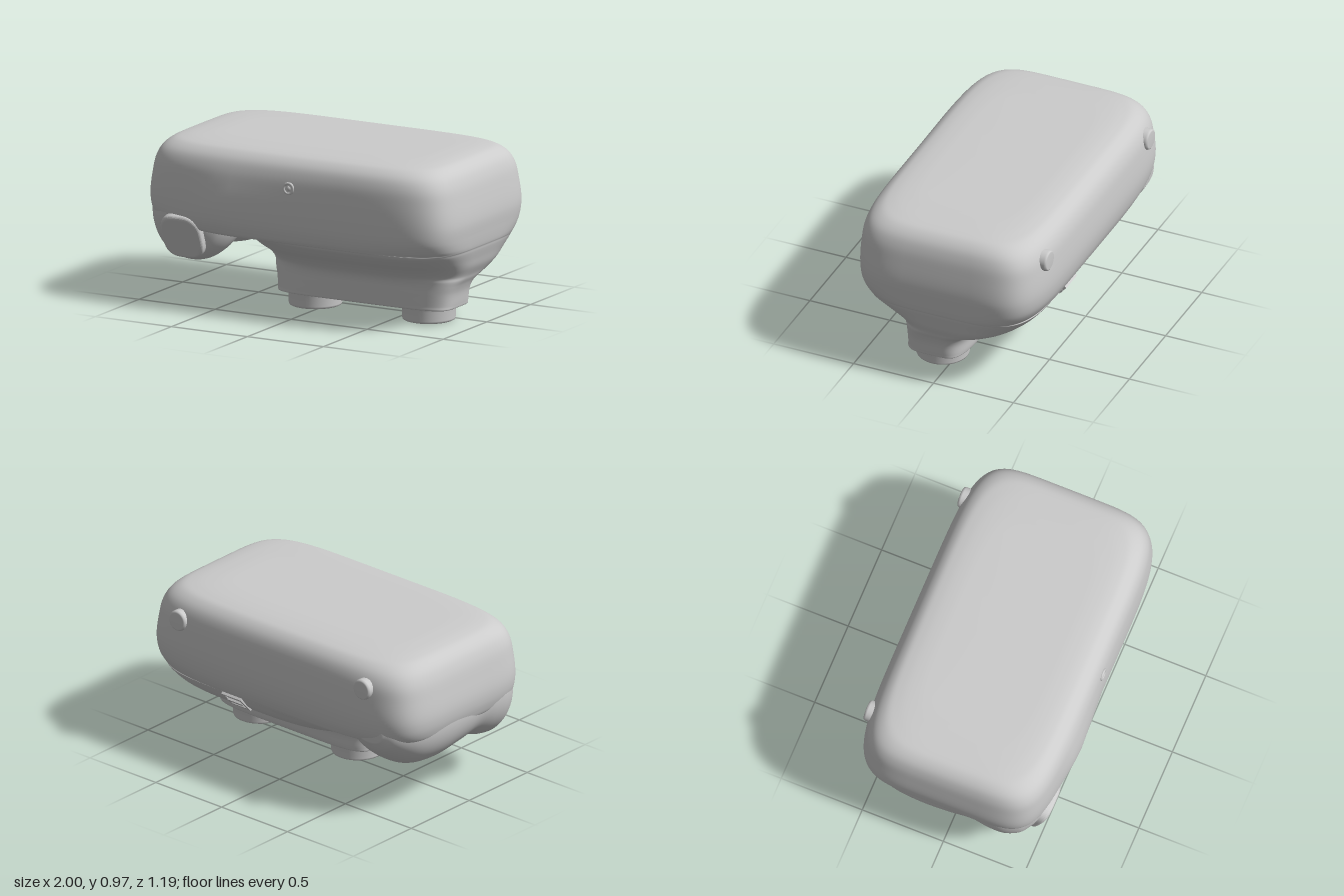
import * as THREE from 'three';

const SEG = 128;
const material = new THREE.MeshStandardMaterial({ color: 0xcccccc, side: THREE.DoubleSide });

// Point on a unit superellipse; a higher n gives a squarer outline.
function superellipse(t, n) {
  const c = Math.cos(t), s = Math.sin(t);
  return [Math.sign(c) * Math.abs(c) ** (2 / n), Math.sign(s) * Math.abs(s) ** (2 / n)];
}

// Smooth closed skin through a list of rings, capped at both ends.
function loft(rings, steps) {
  const rails = [];
  for (let j = 0; j < SEG; j++) {
    rails.push(new THREE.CatmullRomCurve3(rings.map((r) => r[j])));
  }
  const pos = [], index = [];
  for (let i = 0; i <= steps; i++) {
    for (const rail of rails) pos.push(...rail.getPoint(i / steps).toArray());
  }
  for (let i = 0; i < steps; i++) {
    for (let j = 0; j < SEG; j++) {
      const k = (j + 1) % SEG;
      const a = i * SEG + j, b = i * SEG + k, c = a + SEG, d = b + SEG;
      index.push(a, c, b, b, c, d);
    }
  }
  [rings[0], rings[rings.length - 1]].forEach((ring, end) => {
    const mid = ring.reduce((m, p) => m.add(p), new THREE.Vector3()).divideScalar(SEG);
    const centre = pos.length / 3, base = end * steps * SEG;
    pos.push(...mid.toArray());
    for (let j = 0; j < SEG; j++) {
      const a = base + j, b = base + (j + 1) % SEG;
      if (end) index.push(centre, b, a);
      else index.push(centre, a, b);
    }
  });
  const g = new THREE.BufferGeometry();
  g.setAttribute('position', new THREE.Float32BufferAttribute(pos, 3));
  g.setIndex(index);
  g.computeVertexNormals();
  return g;
}

// Horizontal ring: height, x range, z range, squareness.
function levelRing([y, x0, x1, z0, z1, n]) {
  return Array.from({ length: SEG }, (_, j) => {
    const [c, s] = superellipse((j / SEG) * Math.PI * 2, n);
    return new THREE.Vector3((x0 + x1) / 2 + c * (x1 - x0) / 2, y, (z0 + z1) / 2 + s * (z1 - z0) / 2);
  });
}

// Upright ring of the grip: depth, lowest height, half width.
function gripRing([z, bottom, half]) {
  return Array.from({ length: SEG }, (_, j) => {
    const [c, s] = superellipse((j / SEG) * Math.PI * 2, 2.1);
    return new THREE.Vector3(-0.72 + c * half, 0.54 + s * (s < 0 ? 0.54 - bottom : 0.1), z);
  });
}

export function createModel() {
  const group = new THREE.Group();
  const add = (name, geometry, x = 0, y = 0, z = 0, rx = 0) => {
    const mesh = new THREE.Mesh(geometry, material);
    mesh.name = name;
    mesh.position.set(x, y, z);
    mesh.rotation.x = rx;
    group.add(mesh);
  };

  // Rounded housing flowing down into its neck, stepped out over the grip side
  const housing = loft([
    [0.085, -0.25, 0.85, -0.09, 0.26, 5],
    [0.09, -0.265, 0.865, -0.105, 0.275, 5],
    [0.11, -0.27, 0.87, -0.115, 0.28, 4.5],
    [0.18, -0.277, 0.88, -0.125, 0.287, 4.2],
    [0.225, -0.288, 0.895, -0.15, 0.292, 4],
    [0.255, -0.297, 0.91, -0.22, 0.302, 3.8],
    [0.28, -0.31, 0.92, -0.32, 0.32, 3.6],
    [0.33, -0.33, 0.945, -0.43, 0.38, 3.6],
    [0.38, -0.35, 0.96, -0.495, 0.46, 3.8],
    [0.43, -0.37, 0.975, -0.535, 0.52, 4.2],
    [0.445, -0.42, 0.978, -0.545, 0.53, 4.4],
    [0.45, -0.6, 0.98, -0.55, 0.535, 4.6],
    [0.455, -0.85, 0.982, -0.553, 0.54, 4.8],
    [0.475, -0.96, 0.986, -0.565, 0.55, 5.2],
    [0.53, -0.988, 0.993, -0.585, 0.564, 5.8],
    [0.62, -1, 1, -0.597, 0.57, 6],
    [0.75, -0.985, 0.985, -0.591, 0.567, 6],
    [0.84, -0.966, 0.966, -0.577, 0.555, 6],
    [0.9, -0.937, 0.937, -0.55, 0.53, 5.8],
    [0.94, -0.89, 0.89, -0.505, 0.485, 5.5],
    [0.956, -0.83, 0.83, -0.45, 0.435, 5],
    [0.965, -0.72, 0.72, -0.37, 0.35, 4.5],
    [0.967, -0.64, 0.64, -0.3, 0.28, 4.5],
  ].map(levelRing), 132);
  // Slight swelling on the front
  const p = housing.attributes.position;
  for (let i = 0; i < p.count; i++) {
    if (p.getZ(i) < 0.3) continue;
    const swell = Math.exp(-(((p.getX(i) + 0.37) / 0.2) ** 2) - ((p.getY(i) - 0.6) / 0.2) ** 2);
    p.setZ(i, p.getZ(i) + 0.025 * swell);
  }
  housing.computeVertexNormals();
  add('housing', housing);

  // Rounded grip ridge running front to back under one end
  add('grip', loft([
    [0.53, 0.47, 0.09],
    [0.51, 0.4, 0.14],
    [0.475, 0.325, 0.19],
    [0.44, 0.275, 0.225],
    [0.36, 0.24, 0.26],
    [0.27, 0.25, 0.265],
    [0.16, 0.288, 0.255],
    [0.03, 0.275, 0.265],
    [-0.15, 0.252, 0.268],
    [-0.31, 0.272, 0.255],
    [-0.42, 0.33, 0.225],
    [-0.51, 0.41, 0.17],
    [-0.555, 0.48, 0.1],
  ].map(gripRing), 72));

  // Tilted pad on the front of the grip
  const padShape = new THREE.Shape(Array.from({ length: 64 }, (_, j) => {
    const [c, s] = superellipse((j / 64) * Math.PI * 2, 3.5);
    return new THREE.Vector2(c * 0.108, s * 0.118);
  }));
  add('gripPad', new THREE.ExtrudeGeometry(padShape, {
    depth: 0.09, bevelThickness: 0.02, bevelSize: 0.022, bevelSegments: 5,
  }), -0.71, 0.437, 0.425, 0.38);

  // Hollow feet
  const footProfile = [
    [0, 0.045], [0.035, 0.045], [0.05, 0.03], [0.07, 0.03], [0.09, 0.012], [0.11, 0],
    [0.142, 0], [0.15, 0.004], [0.154, 0.015], [0.154, 0.07], [0.16, 0.082], [0.16, 0.1],
  ].map(([r, y]) => new THREE.Vector2(r, y));
  for (const x of [-0.075, 0.67]) add('foot', new THREE.LatheGeometry(footProfile, 48), x, 0, 0.09);

  // Small ringed sensor on the front
  add('sensorRing', new THREE.TorusGeometry(0.03, 0.008, 12, 32), 0.02, 0.78, 0.564);
  add('sensor', new THREE.SphereGeometry(0.018, 16, 12), 0.02, 0.78, 0.553);

  // Shallow round buttons on the back
  const buttonProfile = [[0.062, -0.06], [0.062, 0.025], [0.058, 0.036], [0.05, 0.04], [0, 0.04]]
    .map(([r, y]) => new THREE.Vector2(r, y));
  for (const x of [-0.7, 0.7]) {
    add('backButton', new THREE.LatheGeometry(buttonProfile, 40), x, 0.81, -0.555, -Math.PI / 2);
  }

  // Latch on the sloping lower back: a frame with a crossbar
  const latch = new THREE.Group();
  latch.name = 'latch';
  const bar = (x, y, w, h, d) => {
    const mesh = new THREE.Mesh(new THREE.BoxGeometry(w, h, d), material);
    mesh.name = 'latchBar';
    mesh.position.set(x, y, 0);
    latch.add(mesh);
  };
  for (const s of [-1, 1]) {
    bar(s * 0.065, 0, 0.018, 0.13, 0.03);
    bar(0, s * 0.056, 0.13, 0.018, 0.03);
  }
  bar(0, 0, 0.11, 0.025, 0.04);
  latch.position.set(0.32, 0.4, -0.502);
  latch.rotation.x = -0.75;
  group.add(latch);

  return group;
}
